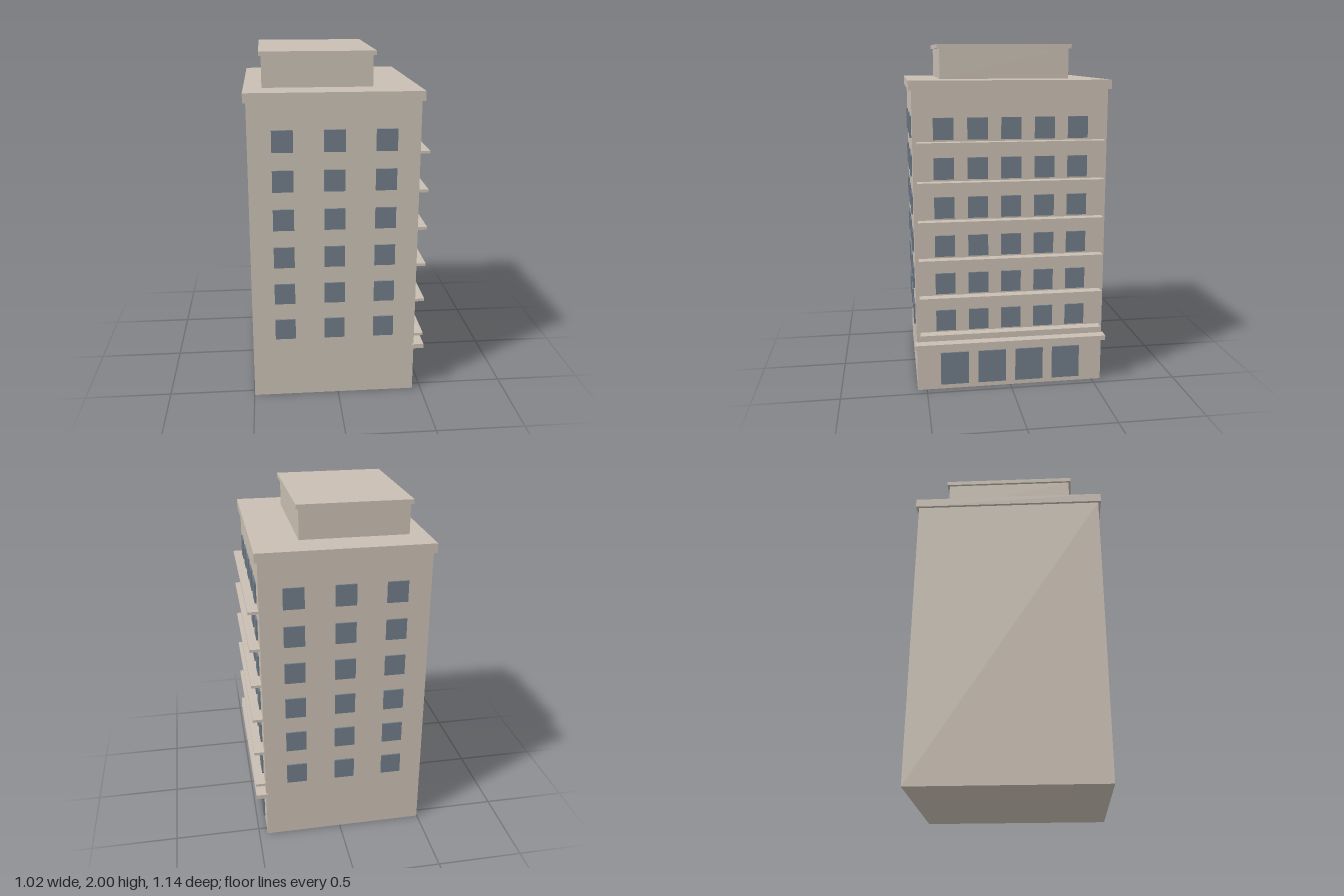
import * as THREE from 'three';

export function createModel() {
  const building = new THREE.Group();
  building.name = 'officeBuilding';

  const wall = new THREE.MeshStandardMaterial({ color: 0xc8beb2 });
  wall.name = 'wall';
  const glass = new THREE.MeshStandardMaterial({ color: 0x6f7a86 });
  glass.name = 'glass';

  // Box given by its limits on each axis
  function block(name, material, [x0, x1], [y0, y1], [z0, z1], parent = building) {
    const mesh = new THREE.Mesh(new THREE.BoxGeometry(x1 - x0, y1 - y0, z1 - z0), material);
    mesh.position.set((x0 + x1) / 2, (y0 + y1) / 2, (z0 + z1) / 2);
    mesh.name = name;
    parent.add(mesh);
  }
  function group(name) {
    const g = new THREE.Group();
    g.name = name;
    building.add(g);
    return g;
  }
  const span = (centre, size) => [centre - size / 2, centre + size / 2];

  const left = -0.497, right = 0.45, depth = 0.553;
  const floors = 6, floorHeight = 0.2222, plate = 0.0095;

  // Main tower, roof slab and rooftop room
  block('tower', wall, [left, right], [0, 1.75], [-depth, depth]);
  block('roofSlab', wall, [-0.513, 0.466], [1.75, 1.803], [-0.569, 0.569]);
  block('rooftopRoom', wall, [-0.411, 0.206], [1.803, 1.975], [-0.38, 0.38]);
  block('rooftopCap', wall, [-0.425, 0.222], [1.975, 2], [-0.394, 0.394]);

  // Band above the shop windows
  block('streetBand', wall, [0.439, 0.508], [0.272, 0.299], [-0.563, 0.563]);

  const frontWindows = group('frontWindows');
  const backWindows = group('backWindows');
  const sideWindows = group('sideWindows');
  const ledges = group('ledges');

  for (let floor = 0; floor < floors; floor++) {
    const rise = floor * floorHeight;
    const y = span(0.4285 + rise, 0.122);

    // Three windows on the front and back
    for (let i = -1; i <= 1; i++) {
      const x = span(-0.0225 + i * 0.2855, 0.117);
      block('frontWindow', glass, x, y, [depth, depth + plate], frontWindows);
      block('backWindow', glass, x, y, [-depth - plate, -depth], backWindows);
    }

    // Five windows and a full-width ledge on the street side
    for (let i = -2; i <= 2; i++) {
      block('sideWindow', glass, [right, right + plate], y, span(i * 0.1905, 0.114), sideWindows);
    }
    block('ledge', wall, [right, 0.508], span(0.349 + rise, 0.016), [-0.532, 0.532], ledges);
  }

  // Shop windows at street level
  const shopWindows = group('shopWindows');
  for (let i = 0; i < 4; i++) {
    block('shopWindow', glass, [right, right + plate], [0.029, 0.226], span((i - 1.5) * 0.2222, 0.165), shopWindows);
  }

  return building;
}
